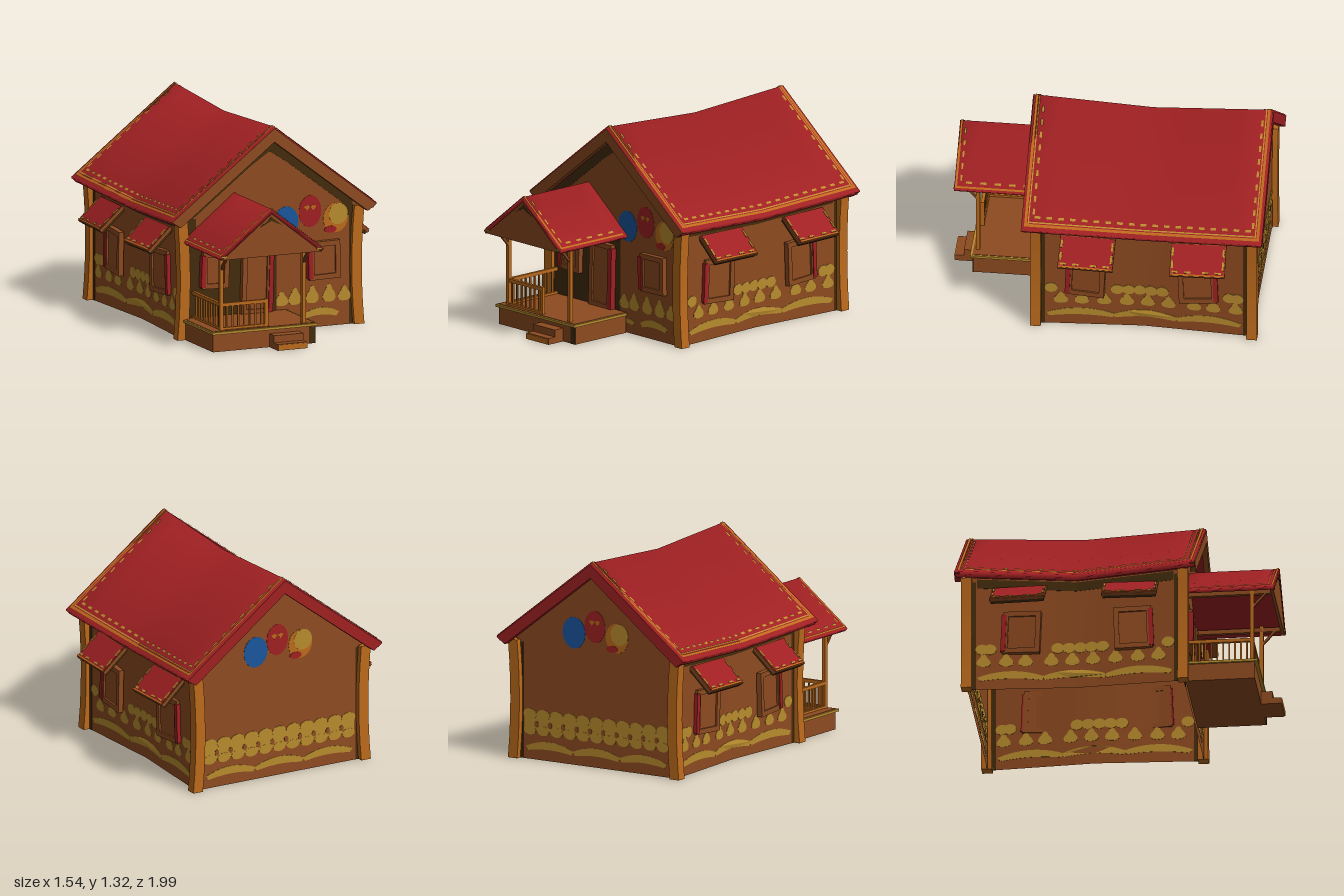
import * as THREE from 'three';
import { mergeVertices } from 'three/addons/utils/BufferGeometryUtils.js';

const mat = (name, color) => {
  const m = new THREE.MeshStandardMaterial({ color, side: THREE.DoubleSide });
  m.name = name;
  return m;
};

export function createModel() {
  const M = {
    wall: mat('brown timber', 0x8e4b20),
    post: mat('orange timber', 0xbc6a1c),
    dark: mat('dark timber', 0x432b0c),
    red: mat('roof red', 0xa02022),
    yellow: mat('ochre yellow', 0xb98c2e),
    blue: mat('blue', 0x1a569e),
  };
  const house = new THREE.Group();
  house.name = 'house';
  const group = (name) => { const g = new THREE.Group(); g.name = name; house.add(g); return g; };
  const add = (parent, name, geo, m, x = 0, y = 0, z = 0) => {
    const mesh = new THREE.Mesh(geo, m);
    mesh.name = name;
    mesh.position.set(x, y, z);
    parent.add(mesh);
    return mesh;
  };
  const box = (parent, name, m, x0, x1, y0, y1, z0, z1) =>
    add(parent, name, new THREE.BoxGeometry(x1 - x0, y1 - y0, z1 - z0), m, (x0 + x1) / 2, (y0 + y1) / 2, (z0 + z1) / 2);

  // The house pinches in and its ridge sags towards the middle of its length
  const MID = -0.2425;
  const pinch = (z) => 0.93 + 0.07 * Math.min(1, Math.abs(z - MID) / 0.75);
  const bend = (geo) => {
    const p = geo.attributes.position;
    for (let i = 0; i < p.count; i++) {
      const y = p.getY(i), s = pinch(p.getZ(i));
      const drop = THREE.MathUtils.clamp((y - 0.5) / 0.2, 0, 1) * 0.04 * (1 - s) / 0.07;
      p.setXYZ(i, p.getX(i) * s, y - drop, p.getZ(i));
    }
    geo.computeVertexNormals();
    return geo;
  };
  const smooth = (geo) => {
    geo.deleteAttribute('uv');
    geo.deleteAttribute('normal');
    const g = mergeVertices(geo);
    g.computeVertexNormals();
    return g;
  };

  const poly = (pts) => new THREE.Shape(pts.map(([x, y]) => new THREE.Vector2(x, y)));
  const extrude = (shape, depth, steps = 1) =>
    new THREE.ExtrudeGeometry(shape, { depth, steps, bevelEnabled: false, curveSegments: 10 });

  // Gable roof section; cut sets how far the eave end slants inwards
  const chevron = (half, eave, ridge, th, cut = 0.5) => {
    const a = th * cut, low = eave - th + (ridge - eave) / half * a;
    return poly([[-half, eave], [-half + a, low], [0, ridge - th], [half - a, low], [half, eave], [0, ridge]]);
  };

  // ---- Walls ----
  const walls = group('walls');
  const gable = poly([[-0.6, 0], [0.6, 0], [0.6, 0.77], [0, 1.235], [-0.6, 0.77]]);
  for (const [name, z] of [['frontWall', 0.43], ['backWall', -0.92]])
    add(walls, name, bend(new THREE.ShapeGeometry(gable).translate(0, 0, z)), M.wall);
  for (const s of [-1, 1]) {
    const g = new THREE.PlaneGeometry(1.35, 0.77, 8, 1).rotateY(s * Math.PI / 2).translate(s * 0.6, 0.385, -0.245);
    add(walls, 'sideWall', bend(g), M.wall);
    for (const z of [0.425, -0.925]) {
      const g = new THREE.BoxGeometry(0.068, 0.75, 0.066, 1, 6, 1).translate(0, 0.375, 0);
      const p = g.attributes.position;
      for (let i = 0; i < p.count; i++)
        p.setX(i, p.getX(i) + s * 0.018 * (Math.pow((p.getY(i) - 0.375) / 0.375, 2) - 1));
      g.computeVertexNormals();
      add(walls, 'cornerPost', g, M.post, s * 0.603, 0, z);
    }
  }

  // ---- Painted details, thin plates set in the walls ----
  const paint = group('wallPaint');
  const onWall = {
    front: (g) => g.translate(0, 0, 0.43),
    back: (g) => g.rotateY(Math.PI).translate(0, 0, -0.92),
    right: (g) => g.rotateY(Math.PI / 2).translate(0.6, 0, 0),
    left: (g) => g.rotateY(-Math.PI / 2).translate(-0.6, 0, 0),
  };
  const plate = (wall, name, shape, m, layer = 0) => {
    const d = 0.004 + layer * 0.0025;
    add(paint, name, bend(onWall[wall](extrude(shape, d).translate(0, 0, -d / 2))), m);
  };
  const rect = (x0, x1, y0, y1) => poly([[x0, y0], [x1, y0], [x1, y1], [x0, y1]]);
  const oval = (x, y, rx, ry) => new THREE.Shape().absellipse(x, y, rx, ry, 0, Math.PI * 2);
  const pear = (x, y, w, h) => {
    const s = new THREE.Shape().moveTo(x, y);
    s.bezierCurveTo(x + w * 0.75, y, x + w * 0.55, y + h * 0.45, x + w * 0.25, y + h * 0.65);
    s.bezierCurveTo(x + w * 0.15, y + h, x - w * 0.15, y + h, x - w * 0.25, y + h * 0.65);
    s.bezierCurveTo(x - w * 0.55, y + h * 0.45, x - w * 0.75, y, x, y);
    return s;
  };
  const arc = (x0, x1, y, h) => {
    const c = (x0 + x1) / 2, s = new THREE.Shape().moveTo(x0, y);
    s.quadraticCurveTo(c, y + h * 1.6, x1, y);
    s.lineTo(x1 - 0.02, y - 0.025);
    s.quadraticCurveTo(c, y + h * 0.1, x0 + 0.02, y - 0.025);
    return s;
  };
  const spots = (wall, x, y, dir) => {
    plate(wall, 'blueSpot', oval(x, y, 0.085, 0.1), M.blue);
    const rx = x + dir * 0.165, ox = x + dir * 0.34;
    plate(wall, 'redSpot', oval(rx, y + 0.055, 0.077, 0.102), M.red);
    for (const k of [-0.022, 0.022]) plate(wall, 'yellowMark', arc(rx + k - 0.02, rx + k + 0.02, y + 0.085, 0.012), M.post, 1);
    plate(wall, 'orangeSpot', oval(ox, y, 0.085, 0.095), M.post);
    plate(wall, 'yellowSpot', oval(ox + 0.018, y + 0.024, 0.065, 0.068), M.yellow, 1);
    plate(wall, 'redPatch', oval(ox - 0.035, y - 0.072, 0.042, 0.022), M.red, 2);
  };
  spots('front', 0.115, 0.685, 1);
  spots('back', -0.17, 0.84, 0.95);

  // Dark bands below the eaves and beside the posts
  plate('front', 'gableBand', poly([[-0.57, 0.73], [-0.57, 0.79], [0, 1.23], [0.57, 0.79], [0.57, 0.68], [0.53, 0.7], [0.5, 0.78], [0.13, 1.06], [0, 1.145], [-0.13, 1.06], [-0.5, 0.78]]), M.dark);
  plate('front', 'postShade', rect(0.548, 0.575, 0.0, 0.76), M.dark);
  plate('front', 'postShade', rect(-0.575, -0.505, 0, 0.76), M.dark);
  plate('front', 'porchWall', rect(-0.505, 0.05, 0.08, 0.66), M.dark);
  for (const x of [-0.565, 0.565]) plate('back', 'postShade', rect(x - 0.014, x + 0.014, 0, 0.74), M.dark);
  for (const [wall, f] of [['right', -1], ['left', 1]]) {
    const order = (a, b) => [Math.min(f * a, f * b), Math.max(f * a, f * b)];
    const span = (a, b, y0, y1) => rect(...order(a, b), y0, y1);
    plate(wall, 'postShade', span(0.368, 0.395, 0, 0.74), M.dark);
    plate(wall, 'postShade', span(-0.89, -0.868, 0, 0.74), M.dark);
    plate(wall, 'eaveBand', span(0.365, MID, 0.7, 0.76), M.dark);
    plate(wall, 'eaveBand', span(MID, -0.86, 0.7, 0.76), M.dark);
    for (const z of [0.27, 0.14, 0, -0.14, -0.27, -0.4, -0.56, -0.68, -0.82])
      plate(wall, 'pear', pear(f * z, 0.155, 0.085, 0.095), M.yellow);
    for (const [a, b] of [[0.36, -0.07], [-0.05, -0.46], [-0.44, -0.86]])
      plate(wall, 'wave', arc(...order(a, b), 0.082, 0.05), M.yellow);
    for (const z of [-0.08, -0.15, -0.22, -0.29, -0.36, 0.33, -0.78, -0.83])
      plate(wall, 'scallop', oval(f * z, 0.272, 0.04, 0.035), M.yellow, 1);
  }
  for (const [x, h] of [[0.085, 0.1], [0.175, 0.12], [0.295, 0.125], [0.41, 0.125], [0.515, 0.105]])
    plate('front', 'pear', pear(x, 0.152, 0.085, h), M.yellow);
  plate('front', 'wave', arc(0.23, 0.48, 0.085, 0.045), M.yellow);
  plate('front', 'wave', arc(0.07, 0.18, 0.075, 0.02), M.yellow);
  plate('back', 'scallopBand', rect(-0.54, 0.54, 0.185, 0.29), M.yellow);
  for (let i = 0; i < 11; i++) {
    plate('back', 'scallop', oval(-0.5 + i * 0.1, 0.285, 0.05, 0.035), M.yellow, 1);
    plate('back', 'scallop', oval(-0.5 + i * 0.1, 0.185, 0.045, 0.03), M.yellow, 1);
    if (i < 10) plate('back', 'bandDot', oval(-0.45 + i * 0.1, 0.225, 0.015, 0.02), M.wall, 2);
  }
  for (const x of [-0.53, -0.18, 0.17]) plate('back', 'wave', arc(x, x + 0.36, 0.08, 0.05), M.yellow);

  // ---- Main roof ----
  const roof = group('mainRoof');
  const slope = 0.54 / 0.7;
  add(roof, 'roofSlab', smooth(bend(extrude(chevron(0.7, 0.77, 1.31, 0.05), 1.495, 8).translate(0, 0, -0.99))), M.red);
  const barge = () => extrude(chevron(0.698, 0.762, 1.298, 0.085, 0.7), 0.035);
  add(roof, 'frontBargeboard', bend(barge().translate(0, 0, 0.474)), M.wall);
  add(roof, 'backBargeboard', bend(barge().translate(0, 0, -0.994)), M.red);

  // Trim strips that lie on both slopes of a roof
  const strip = (parent, name, m, r, x0, x1, z0, z1) => {
    for (const s of [-1, 1]) {
      const g = new THREE.PlaneGeometry(x1 - x0, z1 - z0, 1, 8).rotateX(-Math.PI / 2).translate(s * (x0 + x1) / 2, 0, (z0 + z1) / 2);
      const p = g.attributes.position;
      for (let i = 0; i < p.count; i++) p.setY(i, r.ridge + 0.006 - r.slope * Math.abs(p.getX(i)));
      if (r.bent) bend(g); else g.computeVertexNormals();
      add(parent, name, g, m, r.x);
    }
  };
  const R = { x: 0, ridge: 1.31, slope, bent: true };
  strip(roof, 'edgeTrim', M.post, R, 0, 0.682, 0.474, 0.49);
  strip(roof, 'edgeTrim', M.post, R, 0, 0.682, -0.975, -0.959);
  strip(roof, 'edgeTrim', M.post, R, 0.668, 0.682, -0.975, 0.49);
  strip(roof, 'innerTrim', M.yellow, R, 0, 0.668, 0.462, 0.469);
  strip(roof, 'innerTrim', M.yellow, R, 0, 0.668, -0.954, -0.947);
  strip(roof, 'innerTrim', M.yellow, R, 0.656, 0.663, -0.954, 0.469);
  for (let i = 0; i < 9; i++) {
    strip(roof, 'trimDash', M.yellow, R, 0.06 + i * 0.066, 0.09 + i * 0.066, 0.43, 0.444);
    strip(roof, 'trimDash', M.yellow, R, 0.06 + i * 0.066, 0.09 + i * 0.066, -0.938, -0.924);
  }
  for (let i = 0; i < 19; i++)
    strip(roof, 'trimDash', M.yellow, R, 0.625, 0.638, -0.92 + i * 0.073, -0.885 + i * 0.073);

  // ---- Windows and door: frame, recessed panel and red edge ----
  const opening = (name, w, h, redSide, x, y, z, ry, tilt) => {
    const g = group(name);
    const a = w / 2, b = h / 2, t = 0.032;
    const frame = rect(-a, a, -b, b);
    frame.holes.push(rect(-a + t, a - t, -b + t, b - t));
    add(g, 'frame', extrude(frame, 0.034), M.wall);
    box(g, 'panel', M.wall, -a + t, a - t, -b + t, b - t, 0.004, 0.022);
    const rx = redSide * (a - 0.005);
    box(g, 'redEdge', M.red, rx - 0.015, rx + 0.015, -b + 0.01, b - 0.02, 0.002, 0.04);
    g.position.set(x, y, z);
    g.rotation.set(0, ry, tilt);
  };
  opening('frontWindow', 0.21, 0.24, -1, 0.365, 0.425, 0.432, 0, 0.02);
  opening('porchWindow', 0.18, 0.23, -1, -0.38, 0.425, 0.436, 0, -0.04);
  opening('door', 0.2, 0.42, 1, -0.1, 0.335, 0.436, 0, -0.025);

  // ---- Side windows with slanted awnings ----
  for (const s of [-1, 1]) for (const [z, wz, e] of [[0.1, 0.11, 1], [-0.595, -0.58, -1]]) {
    const x = s * 0.6 * pinch(wz);
    opening('sideWindow', 0.235, 0.28, -s * e, x, 0.375, wz, s * Math.PI / 2 - s * e * 0.056, -s * e * 0.04);
    const g = group('awning');
    box(g, 'underBoard', M.dark, -0.1, 0.1, -0.024, -0.006, -0.165, 0.165);
    box(g, 'topBoard', M.wall, -0.105, 0.105, -0.006, 0.012, -0.172, 0.172);
    box(g, 'cover', M.red, -0.1, 0.1, 0.012, 0.016, -0.165, 0.165);
    const dash = (u, k, du, dk, m) => box(g, 'trimDash', m, s * u - du, s * u + du, 0.014, 0.02, k - dk, k + dk);
    for (const k of [-0.13, -0.05, 0.06, 0.14]) dash(0.078, k, 0.006, 0.02, M.yellow);
    for (const k of [-0.158, 0.158]) for (const u of [-0.05, 0.03]) dash(u, k, 0.025, 0.006, M.yellow);
    dash(0.096, 0, 0.005, 0.165, M.post);
    g.position.set(s * 0.675, 0.605, z);
    g.rotation.set(0, e * s * -0.03, -s * 0.74);
  }

  // ---- Porch ----
  const porch = group('porch');
  const CX = -0.24;
  box(porch, 'deckBase', M.wall, -0.585, 0.11, 0, 0.115, 0.44, 0.87);
  box(porch, 'deckShade', M.dark, 0.068, 0.112, 0, 0.105, 0.866, 0.873);
  box(porch, 'deckEdge', M.yellow, -0.598, 0.12, 0.112, 0.128, 0.44, 0.89);
  box(porch, 'deckFloor', M.wall, -0.585, 0.107, 0.128, 0.131, 0.44, 0.875);
  box(porch, 'upperStep', M.wall, -0.2, 0, 0, 0.085, 0.87, 0.94);
  box(porch, 'lowerStep', M.wall, -0.2, 0, 0, 0.04, 0.93, 0.995);
  box(porch, 'stepFront', M.post, -0.198, -0.002, 0.003, 0.037, 0.994, 1);
  const P = { x: CX, ridge: 0.9, slope: 0.28 / 0.355 };
  add(porch, 'porchRoof', smooth(extrude(chevron(0.355, 0.62, 0.9, 0.03), 0.56, 4)), M.red, CX, 0, 0.43);
  add(porch, 'porchGable', extrude(poly([[-0.34, 0.603], [0.34, 0.603], [0, 0.872]]), 0.02), M.wall, CX, 0, 0.965);
  add(porch, 'gablePeak', extrude(poly([[-0.075, 0.79], [0, 0.825], [0.075, 0.79], [0, 0.85]]), 0.006), M.dark, CX, 0, 0.982);
  strip(porch, 'edgeTrim', M.post, P, 0, 0.348, 0.972, 0.985);
  strip(porch, 'edgeTrim', M.post, P, 0.338, 0.348, 0.46, 0.985);
  for (let i = 0; i < 5; i++) {
    strip(porch, 'trimDash', M.yellow, P, 0.312, 0.323, 0.52 + i * 0.09, 0.56 + i * 0.09);
    strip(porch, 'trimDash', M.yellow, P, 0.04 + i * 0.06, 0.07 + i * 0.06, 0.945, 0.956);
  }
  for (const s of [-1, 1]) box(porch, 'eaveTip', M.yellow, CX + s * 0.325 - 0.018, CX + s * 0.325 + 0.018, 0.617, 0.629, 0.985, 0.993);
  for (const x of [-0.52, 0.04]) {
    box(porch, 'porchPost', M.post, x - 0.012, x + 0.012, 0.12, 0.64, 0.835, 0.86);
    box(porch, 'roofBeam', M.wall, x - 0.012, x + 0.012, 0.6, 0.628, 0.44, 0.97);
    add(porch, 'brace', new THREE.BoxGeometry(0.016, 0.13, 0.014), M.wall, x, 0.563, 0.893).rotation.x = 0.72;
  }

  // Railing along the front and the outer side
  box(porch, 'railPost', M.post, -0.225, -0.203, 0.12, 0.305, 0.836, 0.858);
  for (const [y0, y1] of [[0.28, 0.302], [0.133, 0.147]]) {
    box(porch, 'frontRail', M.post, -0.52, -0.21, y0, y1, 0.837, 0.857);
    box(porch, 'sideRail', M.post, -0.53, -0.51, y0, y1, 0.44, 0.85);
  }
  for (let i = 1; i < 8; i++) box(porch, 'baluster', M.post, -0.525 + i * 0.039, -0.515 + i * 0.039, 0.14, 0.285, 0.842, 0.852);
  for (let i = 1; i < 11; i++) box(porch, 'baluster', M.post, -0.525, -0.515, 0.14, 0.285, 0.44 + i * 0.037, 0.45 + i * 0.037);

  return house;
}
